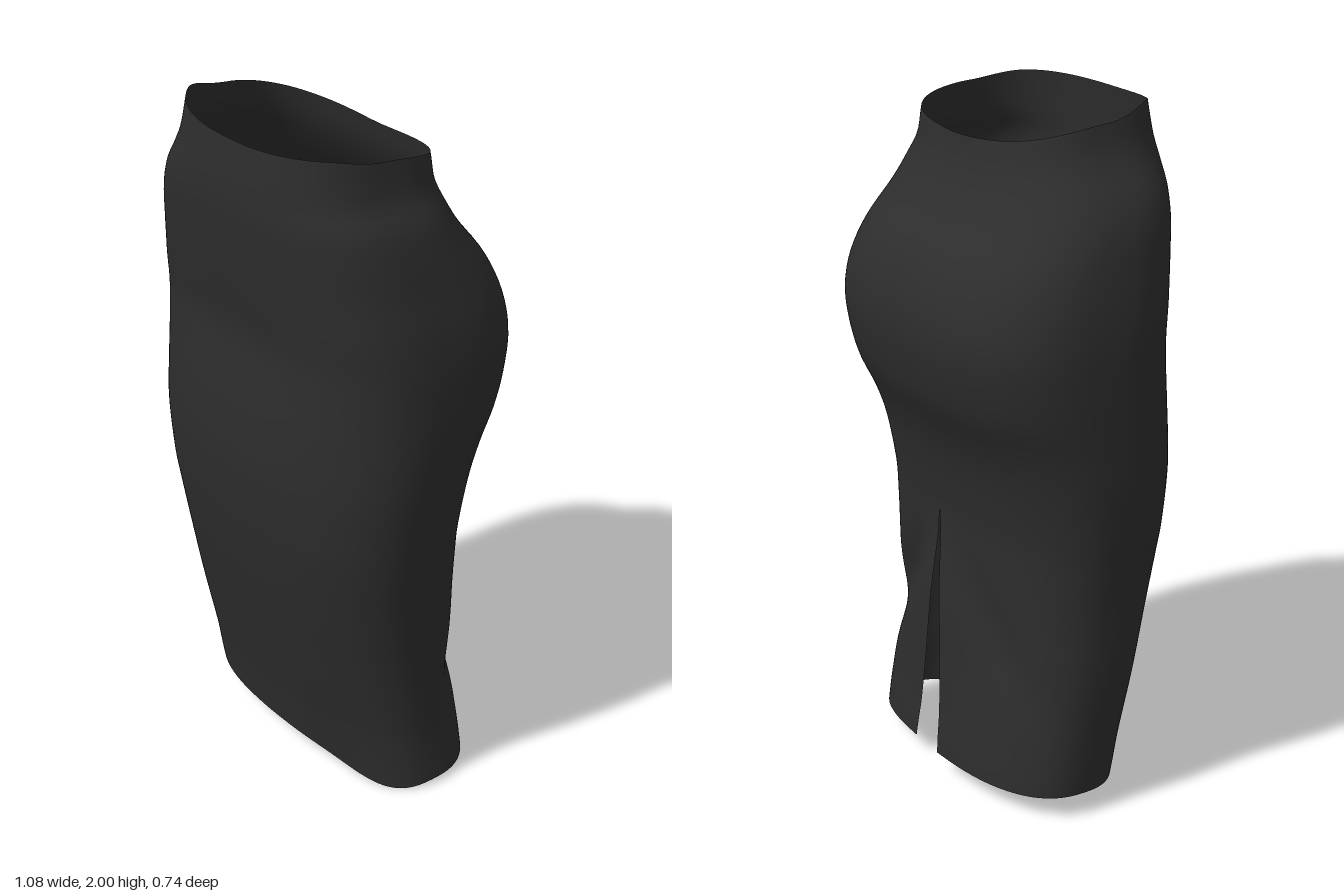
import * as THREE from 'three';
import { mergeVertices } from 'three/addons/utils/BufferGeometryUtils.js';

// Silhouette by height: y, right edge (-x), left edge (+x), front z, back z
const profile = [
  [0.00, -0.470, 0.476, 0.172, -0.266], [0.10, -0.477, 0.466, 0.190, -0.260],
  [0.20, -0.482, 0.461, 0.206, -0.248], [0.40, -0.494, 0.464, 0.250, -0.230],
  [0.60, -0.497, 0.480, 0.295, -0.221], [0.76, -0.510, 0.500, 0.325, -0.219],
  [0.84, -0.520, 0.509, 0.337, -0.223], [1.00, -0.535, 0.525, 0.350, -0.252],
  [1.10, -0.538, 0.531, 0.350, -0.287], [1.20, -0.540, 0.535, 0.345, -0.335],
  [1.30, -0.540, 0.535, 0.334, -0.362], [1.40, -0.537, 0.531, 0.326, -0.373],
  [1.50, -0.525, 0.518, 0.336, -0.358], [1.60, -0.505, 0.495, 0.351, -0.314],
  [1.70, -0.478, 0.472, 0.364, -0.235], [1.78, -0.437, 0.446, 0.371, -0.185],
  [1.84, -0.388, 0.408, 0.371, -0.160], [1.90, -0.352, 0.392, 0.366, -0.146],
  [2.00, -0.326, 0.376, 0.354, -0.125],
];
// Edge heights by angle in degrees: 0 is the front, 90 the model's left
const hem = [[-180, 0.06], [-90, 0.07], [-40, 0.065], [0, 0.06], [35, 0.015],
  [60, 0], [90, 0.015], [150, 0.045], [180, 0.06]];
const rim = [[-180, 1.9], [-140, 1.925], [-90, 1.968], [-60, 2], [-30, 1.985], [0, 1.975],
  [60, 1.975], [90, 1.955], [140, 1.92], [180, 1.9]];

// Smooth lookup in a table sorted by its first column
function sample(table, t, col = 1) {
  let i = 0;
  while (i < table.length - 2 && t > table[i + 1][0]) i++;
  const slope = (k) => {
    const a = table[Math.max(k - 1, 0)], b = table[Math.min(k + 1, table.length - 1)];
    return (b[col] - a[col]) / (b[0] - a[0]);
  };
  const p = table[i], q = table[i + 1], h = q[0] - p[0];
  const s = THREE.MathUtils.clamp((t - p[0]) / h, 0, 1), s2 = s * s, s3 = s2 * s;
  return (2 * s3 - 3 * s2 + 1) * p[col] + (s3 - 2 * s2 + s) * h * slope(i)
    + (3 * s2 - 2 * s3) * q[col] + (s3 - s2) * h * slope(i + 1);
}

const bell = (v, centre, width) => Math.exp(-(((v - centre) / width) ** 2));
const power = (v, e) => Math.sign(v) * Math.abs(v) ** e;
const SLIT_TOP = 0.82;

// Point on the cloth; u runs round from slit edge to slit edge, v from hem to rim
function clothPoint(u, v) {
  const full = (u * 2 - 1) * Math.PI;
  const deg = THREE.MathUtils.radToDeg(full);
  const y = THREE.MathUtils.lerp(sample(hem, deg), sample(rim, deg), v);
  const [x0, x1, zf, zb] = [1, 2, 3, 4].map((c) => sample(profile, y, c));

  // Open the back slit: a narrow wedge widening towards the hem
  const open = Math.max(0, (SLIT_TOP - y) / (SLIT_TOP - 0.06));
  const gap = ((full > 0 ? 0.155 : 0.115) * open) ** 1.25;
  const angle = full * (1 - gap / Math.PI);

  // Rounded-box cross-section, squarer at the hips and the back of the waist
  const front = Math.cos(angle) > 0;
  const n = front ? 2.5 + 0.4 * bell(y, 1.47, 0.22)
    : 2.5 + 0.25 * bell(y, 1.4, 0.3) + 0.5 * bell(y, 1.95, 0.12);
  const side = power(Math.sin(angle), 2 / n), depth = power(Math.cos(angle), 2 / n);
  let x = (x0 + x1) / 2 + side * (x1 - x0) / 2;
  let z = (zf + zb) / 2 + depth * (zf - zb) / 2;

  if (front) {
    // Hem swings back on the left; one faint crease across the lap
    z -= 0.02 * depth * bell(x, 0.25, 0.15) * bell(y, 0, 0.2);
    z += 0.003 * depth * bell(y, 1.55 - 0.25 * Math.abs(x), 0.07);
  } else {
    x += 0.02 * depth * depth;
    // Seam hollow between the hips
    z += 0.012 * bell(x, 0.025, 0.07) * bell(y, 1.38, 0.25);
    // Slit edges stand out, with slanting folds falling away on both sides
    z -= 0.028 * Math.sqrt(open) * bell(y, 0.5, 0.3) * bell(x, 0.02, 0.12);
    const foldX = 0.09 + 0.7 * Math.max(0, 0.76 - y);
    z += 0.04 * bell(y, 0.48, 0.22) * (bell(x, foldX, 0.09) + 0.45 * bell(x, -foldX, 0.09));
  }
  return [x, y, z];
}

function skirtGeometry(cols = 112, rows = 80) {
  const positions = [], index = [];
  for (let r = 0; r <= rows; r++) {
    for (let c = 0; c <= cols; c++) positions.push(...clothPoint(c / cols, r / rows));
  }
  for (let r = 0; r < rows; r++) {
    for (let c = 0; c < cols; c++) {
      const a = r * (cols + 1) + c, d = a + cols + 1;
      index.push(a, a + 1, d + 1, a, d + 1, d);
    }
  }
  const geometry = new THREE.BufferGeometry();
  geometry.setAttribute('position', new THREE.Float32BufferAttribute(positions, 3));
  geometry.setIndex(index);
  // Closes the back seam above the slit
  const joined = mergeVertices(geometry, 1e-4);
  joined.computeVertexNormals();
  return joined;
}

export function createModel() {
  const cloth = new THREE.MeshStandardMaterial({ color: 0x2d2d2d, side: THREE.DoubleSide });
  cloth.name = 'charcoal cloth';
  const skirt = new THREE.Mesh(skirtGeometry(), cloth);
  skirt.name = 'skirt';
  const group = new THREE.Group();
  group.name = 'pencilSkirt';
  group.add(skirt);
  return group;
}
